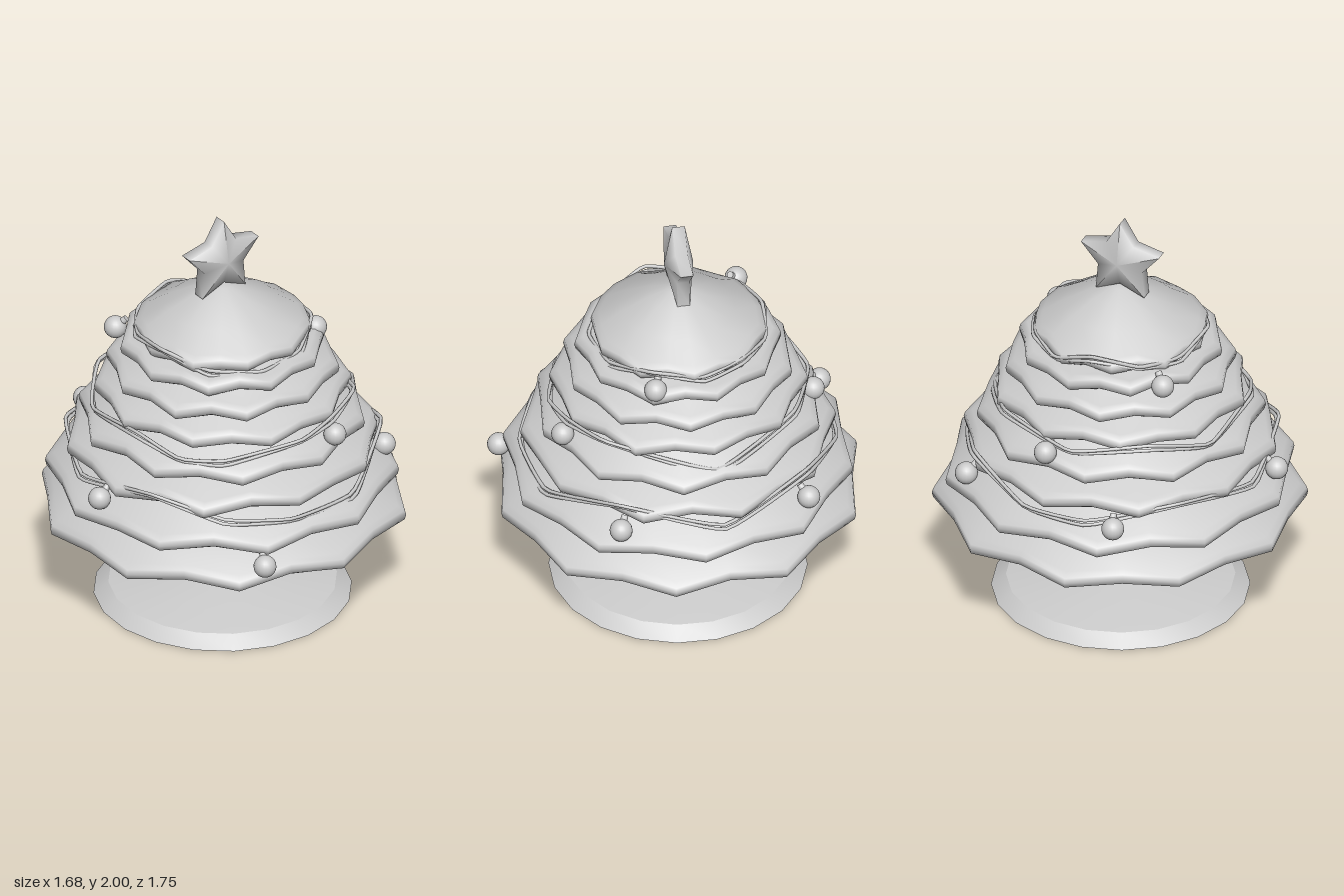
import * as THREE from 'three';
import { mergeVertices, toCreasedNormals } from 'three/addons/utils/BufferGeometryUtils.js';

const material = new THREE.MeshStandardMaterial({ color: 0xcccccc });
const shellMaterial = new THREE.MeshStandardMaterial({ color: 0xcccccc, side: THREE.DoubleSide });

function part(name, geometry, mat = material) {
  const mesh = new THREE.Mesh(geometry, mat);
  mesh.name = name;
  return mesh;
}

// Small seeded generator, values in -1..1
function seeded(seed) {
  return () => {
    seed = (seed * 16807) % 2147483647;
    return (seed / 2147483647) * 2 - 1;
  };
}

const lathe = (points, sides) =>
  new THREE.LatheGeometry(points.map(([r, y]) => new THREE.Vector2(r, y)), sides);

// Branch tiers: tip radius, rim height, turn about y
const tiers = [
  [0.88, 0.47, 0], [0.835, 0.63, 0.17], [0.752, 0.8, 0.42], [0.685, 0.93, 0.05],
  [0.61, 1.08, 0.3], [0.548, 1.195, 0.12], [0.49, 1.305, 0.4], [0.418, 1.385, 0.2],
];

// A ten-pointed skirt with a thick rounded lip, notched and lifted between the points
function tierGeometry(index) {
  const [R, y, turn] = tiers[index];
  const next = tiers[index + 1];
  const rise = index === 0 ? 0.24 : 0.08;
  const profile = [
    [0.1, y + rise], [R * 0.36, y + rise * 0.8], [R * 0.6, y + rise * 0.45],
    [R - 0.08, y + 0.02], [R - 0.03, y], [R - 0.006, y + 0.01], [R, y + 0.035],
    [R - 0.006, y + 0.058], [R - 0.04, y + 0.077],
  ];
  if (next) {
    const [nr, ny] = next;
    profile.push([nr * 0.85, ny + 0.01], [nr * 0.68, ny + 0.06], [nr * 0.45, ny + 0.1]);
  } else {
    profile.push([0.27, 1.54], [0.14, 1.612], [0.05, 1.648], [0, 1.66]);
  }
  let g = lathe(profile, 20);
  g.deleteAttribute('normal');
  g.deleteAttribute('uv');
  g = mergeVertices(g, 1e-4);

  const random = seeded(71 + index * 913);
  const jitter = Array.from({ length: 20 }, () => [random() * 0.01, random() * 0.006]);
  const depth = next ? 0.06 : 0.03;
  const p = g.attributes.position;
  for (let i = 0; i < p.count; i++) {
    const x = p.getX(i), z = p.getZ(i);
    const r = Math.hypot(x, z);
    if (r < 0.01) continue;
    const step = (Math.round(Math.atan2(x, z) / (Math.PI / 10)) + 20) % 20;
    const notch = step % 2;
    const w = Math.pow(r / R, 3);
    const s = 1 + w * (jitter[step][0] - notch * depth);
    p.setXYZ(i, x * s, p.getY(i) + w * (notch * 0.025 + jitter[step][1]), z * s);
  }
  g.rotateY(turn);
  g.computeVertexNormals();
  return g;
}

// Garland loops: radius and [angle from +x towards +z in degrees, height]
const garlands = [
  [0.742, [[0, 0.77], [38, 0.88], [75, 0.74], [105, 0.75], [130, 0.78], [158, 0.88],
    [195, 0.79], [230, 0.85], [265, 0.77], [290, 0.78], [322, 0.88]]],
  [0.62, [[0, 1.01], [50, 1.13], [75, 1.11], [95, 1.08], [130, 1.03], [150, 1.03],
    [172, 1.1], [210, 1.04], [240, 1.11], [275, 1.07], [315, 1.12]]],
  [0.415, [[0, 1.41], [35, 1.445], [70, 1.39], [105, 1.38], [140, 1.4], [175, 1.46],
    [210, 1.42], [240, 1.43], [272, 1.47], [300, 1.41], [330, 1.43]]],
];

// Two thin strands side by side
function garland([radius, stops]) {
  const group = new THREE.Group();
  group.name = 'garland';
  for (const side of [-1, 1]) {
    const points = stops.map(([deg, y], i) => {
      const a = THREE.MathUtils.degToRad(deg);
      const r = radius + side * 0.006 * (i % 2 ? 1 : -1);
      return new THREE.Vector3(r * Math.cos(a), y + side * 0.009, r * Math.sin(a));
    });
    const curve = new THREE.CatmullRomCurve3(points, true, 'catmullrom', 0.2);
    group.add(part('garlandStrand', new THREE.TubeGeometry(curve, 88, 0.009, 6, true)));
  }
  return group;
}

const baubles = [
  [0.38, 1.37, 0.23], [-0.33, 1.37, -0.39], [0.16, 1.04, 0.62], [0.18, 1.04, -0.61],
  [-0.77, 0.775, 0], [-0.2, 0.775, -0.76], [0.6, 0.755, 0.47], [0.62, 0.755, -0.45],
  [-0.4, 0.595, 0.76],
];

// Ball with a small cap leaning into the tree
function bauble([x, y, z]) {
  const group = new THREE.Group();
  group.name = 'bauble';
  const cap = part('baubleCap', new THREE.CylinderGeometry(0.016, 0.018, 0.03, 10));
  cap.position.set(0, 0.04, -0.042);
  cap.rotation.x = -0.8;
  group.add(part('baubleBall', new THREE.SphereGeometry(0.054, 20, 14)), cap);
  group.position.set(x, y, z);
  group.rotation.y = Math.atan2(x, z);
  return group;
}

// Plump five-pointed star: narrow rim, softly raised centre on both faces
function starGeometry() {
  const rim = (i, z) => {
    const a = Math.PI / 2 + (i * Math.PI) / 5;
    const r = i % 2 ? 0.118 : 0.21;
    return [r * Math.cos(a), r * Math.sin(a), z];
  };
  const t = 0.03, peak = 0.07, v = [];
  for (let i = 0; i < 10; i++) {
    const a = rim(i, t), b = rim(i + 1, t), c = rim(i, -t), d = rim(i + 1, -t);
    v.push(...a, ...b, 0, 0, peak, ...d, ...c, 0, 0, -peak);
    v.push(...a, ...c, ...b, ...b, ...c, ...d);
  }
  const g = new THREE.BufferGeometry();
  g.setAttribute('position', new THREE.Float32BufferAttribute(v, 3));
  return toCreasedNormals(g, 1.4);
}

export function createModel() {
  const model = new THREE.Group();
  model.name = 'decoratedTree';

  // Stand and trunk
  const stand = lathe([[0, 0], [0.61, 0], [0.54, 0.055], [0.1, 0.13], [0, 0.13]], 20);
  model.add(part('stand', toCreasedNormals(stand, 0.45)));
  const trunk = part('trunk', new THREE.CylinderGeometry(0.11, 0.11, 0.64, 24));
  trunk.position.y = 0.42;
  model.add(trunk);

  // Branches
  const branches = new THREE.Group();
  branches.name = 'branches';
  tiers.forEach((_, i) => branches.add(part('branchTier', tierGeometry(i), shellMaterial)));
  model.add(branches);

  // Decorations
  garlands.forEach((g) => model.add(garland(g)));
  baubles.forEach((b) => model.add(bauble(b)));
  const star = part('star', starGeometry());
  star.position.set(-0.01, 1.79, -0.005);
  star.rotation.y = -0.1;
  model.add(star);

  return model;
}
